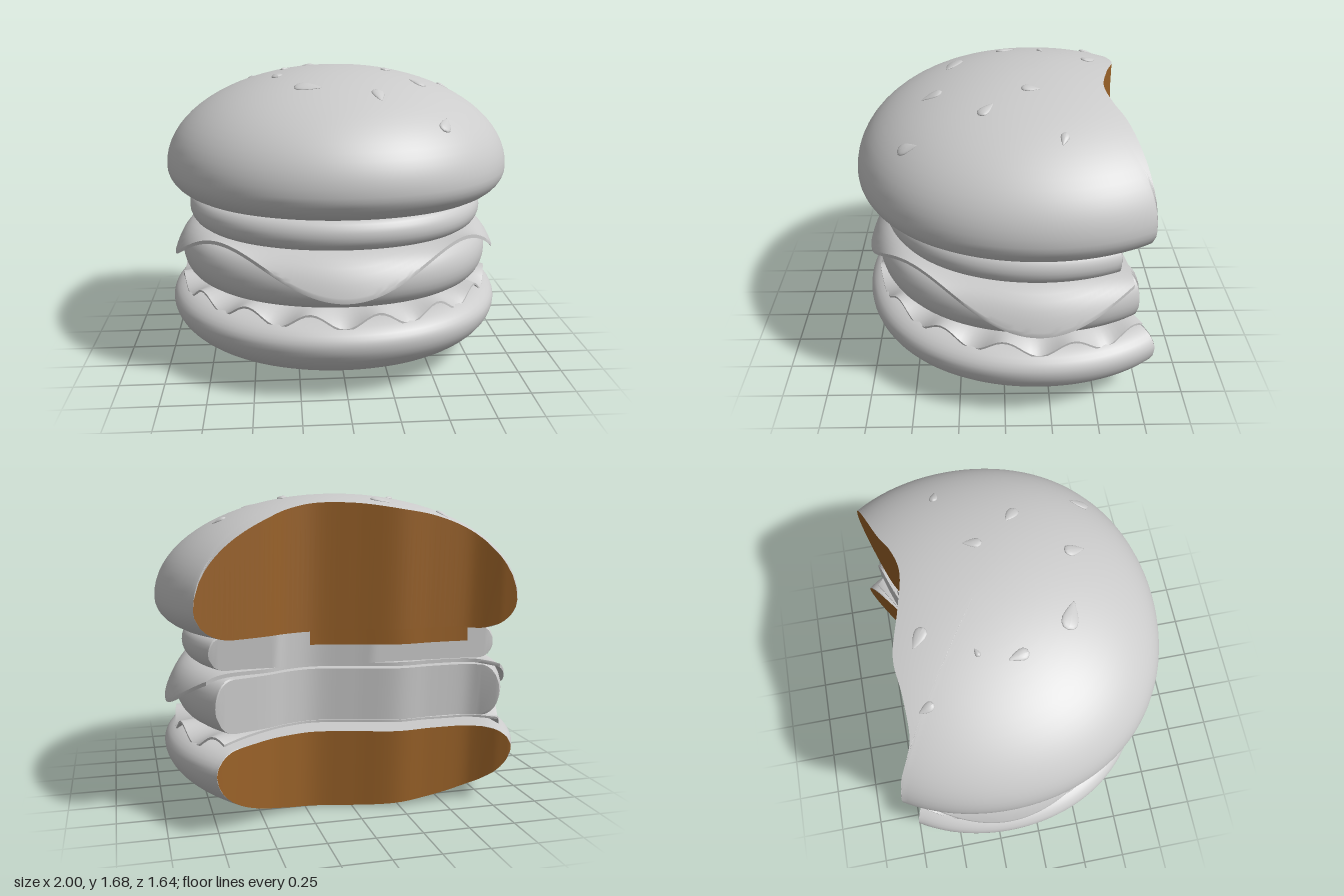
import * as THREE from 'three';
import { toCreasedNormals } from 'three/addons/utils/BufferGeometryUtils.js';

const CZ = -0.178; // centre of the stack in depth
const grey = new THREE.MeshStandardMaterial({ color: 0xcccccc, side: THREE.DoubleSide });
const crumb = new THREE.MeshStandardMaterial({ color: 0x9a6228, side: THREE.DoubleSide });

// Wavy bite line across the back, as z over x; end is its z at x = 0.85, limit its furthest z
function makeBite(end, limit = -1) {
  const pts = new THREE.SplineCurve([
    [-1.15, -0.88], [-0.86, -0.735], [-0.78, -0.7], [-0.7, -0.65], [-0.61, -0.615], [-0.42, -0.615],
    [-0.23, -0.63], [0, -0.57], [0.2, -0.53], [0.35, -0.56], [0.5, -0.63],
    [0.85, end], [1.15, end + (end + 0.63) * 0.86],
  ].map(p => new THREE.Vector2(...p))).getPoints(120);
  return x => {
    let i = 1;
    while (i < pts.length - 1 && pts[i].x < x) i++;
    const a = pts[i - 1], b = pts[i];
    return Math.max(limit, a.y + (b.y - a.y) * (x - a.x) / (b.x - a.x));
  };
}

// Height of a rounded rim: flat inside, quarter ellipse over the last c of the radius
const rim = (r, R, c, h) => h * Math.sqrt(Math.max(0, 1 - (Math.max(0, r - R + c) / c) ** 2));

// Slightly squarish outline
const bulge = t => 1 + 0.021 * Math.sin(2 * t) ** 2;

// One round layer: top and bottom heights over (r, angle), cut by the bite
function layer(name, { radius, top, bottom, end, limit, cx = 0, cutMaterial = grey }) {
  const n = 20, rows = 2 * n + 2, step = Math.PI * 2 / 4000, bite = makeBite(end, limit);
  const at = (r, t) => [cx + r * Math.sin(t), CZ + r * Math.cos(t)];
  const bitten = (r, t) => { const [x, z] = at(r, t); return z < bite(x); };
  const reach = t => {
    let lo = 0, hi = radius(t);
    for (let k = 0; k < 26; k++) {
      const m = (lo + hi) / 2;
      if (bitten(m, t)) hi = m; else lo = m;
    }
    return lo;
  };
  // Columns [angle, radius]: the bitten edge evenly by length, then the untouched arc evenly by angle
  const cut = [];
  let length = 0;
  for (let t = 0; t < Math.PI * 2; t += step) {
    if (!bitten(radius(t), t)) continue;
    const R = reach(t), p = at(R, t), prev = cut[cut.length - 1];
    if (prev) length += Math.hypot(p[0] - prev.p[0], p[1] - prev.p[1]);
    cut.push({ t, R, p, length });
  }
  const columns = [];
  for (let i = 0; i <= 64; i++) {
    const c = cut.find(q => q.length >= length * i / 64 - 1e-9);
    columns.push([c.t, c.R]);
  }
  const a0 = cut[cut.length - 1].t + step, a1 = cut[0].t - step + Math.PI * 2;
  for (let i = 0; i <= 136; i++) {
    const t = a0 + (a1 - a0) * i / 136;
    columns.push([t, radius(t)]);
  }

  const pos = [], skin = [], wall = [];
  columns.forEach(([t, R], i) => {
    const next = (i + 1) % columns.length;
    for (let j = 0; j < rows; j++) {
      const upper = j <= n, k = upper ? j : rows - 1 - j;
      const r = R * Math.sin(k / n * Math.PI / 2);
      const [x, z] = at(r, t);
      pos.push(x, (upper ? top : bottom)(r, t), z);
      if (j === rows - 1) continue;
      const a = i * rows + j, c = next * rows + j;
      (j === n ? wall : skin).push(a, a + 1, c, c, a + 1, c + 1);
    }
  });
  const mesh = (label, index, material) => {
    const g = new THREE.BufferGeometry();
    g.setAttribute('position', new THREE.Float32BufferAttribute(pos, 3));
    g.setIndex(index);
    const m = new THREE.Mesh(toCreasedNormals(g, 0.7), material);
    m.name = label;
    return m;
  };
  const group = new THREE.Group();
  group.name = name;
  if (cutMaterial === grey) group.add(mesh(name + 'Body', skin.concat(wall), grey));
  else group.add(mesh(name + 'Crust', skin, grey), mesh(name + 'BittenFace', wall, cutMaterial));
  return group;
}

// Solid disc with separately rounded upper and lower rims
const disc = (name, R, mid, [cUp, hUp], [cLow, hLow], extra) => layer(name, {
  radius: t => R * bulge(t),
  top: (r, t) => mid + rim(r / bulge(t), R, cUp, hUp),
  bottom: (r, t) => mid - rim(r / bulge(t), R, cLow, hLow),
  ...extra,
});

// Thin sheet whose edge follows its own height
const sheet = (name, radius, y, edge, power, thick, extra) => {
  const h = (r, t) => y + (edge(t) - y) * (r / radius(t)) ** power;
  return layer(name, { radius, top: h, bottom: (r, t) => h(r, t) - thick, ...extra });
};

// Strip of crumb hanging from the top bun over the bitten tomato
function crumbFlap() {
  const g = new THREE.PlaneGeometry(0.85, 0.08, 40, 1), p = g.attributes.position, bite = makeBite(-0.745);
  g.translate(-0.2, 0.94, 0);
  for (let i = 0; i < p.count; i++) p.setZ(i, bite(p.getX(i)) - 0.004);
  g.computeVertexNormals();
  const m = new THREE.Mesh(g, crumb);
  m.name = 'crumbFlap';
  return m;
}

// Teardrop seed lying on the top bun, its tip pointing along heading
function seed(x, z, length, heading) {
  const g = new THREE.SphereGeometry(1, 14, 10), p = g.attributes.position;
  for (let i = 0; i < p.count; i++) {
    const f = (1 - 0.65 * p.getX(i)) / 1.2;
    p.setXYZ(i, p.getX(i), p.getY(i) * f, p.getZ(i) * f);
  }
  g.scale(length / 2, 0.012, length * 0.3);
  g.computeVertexNormals();
  const dz = z - CZ, b = bulge(Math.atan2(x, dz));
  const y = 0.55 * Math.sqrt(1 - (x * x + dz * dz) / (b * b));
  const up = new THREE.Vector3(x, y / 0.55 ** 2, dz).normalize();
  const along = new THREE.Vector3(Math.cos(heading), 0, Math.sin(heading)).projectOnPlane(up).normalize();
  const m = new THREE.Mesh(g, grey);
  m.name = 'seed';
  m.quaternion.setFromRotationMatrix(
    new THREE.Matrix4().makeBasis(along, up, along.clone().cross(up)));
  m.position.set(x, 1.13 + y, z);
  return m;
}

export function createModel() {
  const model = new THREE.Group();
  model.name = 'burger';
  model.add(
    disc('bottomBun', 0.985, 0.32, [0.15, 0.105], [0.75, 0.32], { end: -0.885, cx: -0.015, cutMaterial: crumb }),
    sheet('lettuce', () => 0.925, 0.488, t => 0.445 - 0.04 * Math.cos(16 * t), 9, 0.012, { end: -0.825, cx: -0.015 }),
    disc('patty', 0.915, 0.63, [0.1, 0.14], [0.1, 0.14], { end: -0.745, cx: -0.015 }),
    sheet('cheese', t => 0.95 + 0.022 * Math.cos(4 * t), 0.803,
      t => 0.698 - 0.113 * Math.cos(4 * t), 14, 0.02, { end: -0.68, cx: -0.01 }),
    disc('tomato', 0.87, 0.885, [0.07, 0.085], [0.07, 0.085], { end: -0.595, limit: -0.6, cx: -0.01 }),
    disc('topBun', 1, 1.13, [1, 0.55], [0.2, 0.16], { end: -0.745, cutMaterial: crumb }),
    crumbFlap(),
  );

  // Seeds: x, z, length, heading
  const seeds = new THREE.Group();
  seeds.name = 'seeds';
  for (const s of [
    [-0.51, -0.51, 0.09, -2], [-0.17, -0.49, 0.12, -2.5], [-0.3, -0.22, 0.05, -0.4],
    [-0.35, -0.02, 0.11, -1.8], [-0.18, 0.28, 0.16, 0.4], [0.19, 0.38, 0.12, 1.4],
    [0.29, -0.14, 0.1, -1.4], [0.44, 0.09, 0.11, -2.4], [0.66, -0.29, 0.08, 0.2], [0.53, 0.49, 0.12, -1.5],
  ]) seeds.add(seed(...s));
  model.add(seeds);
  return model;
}
